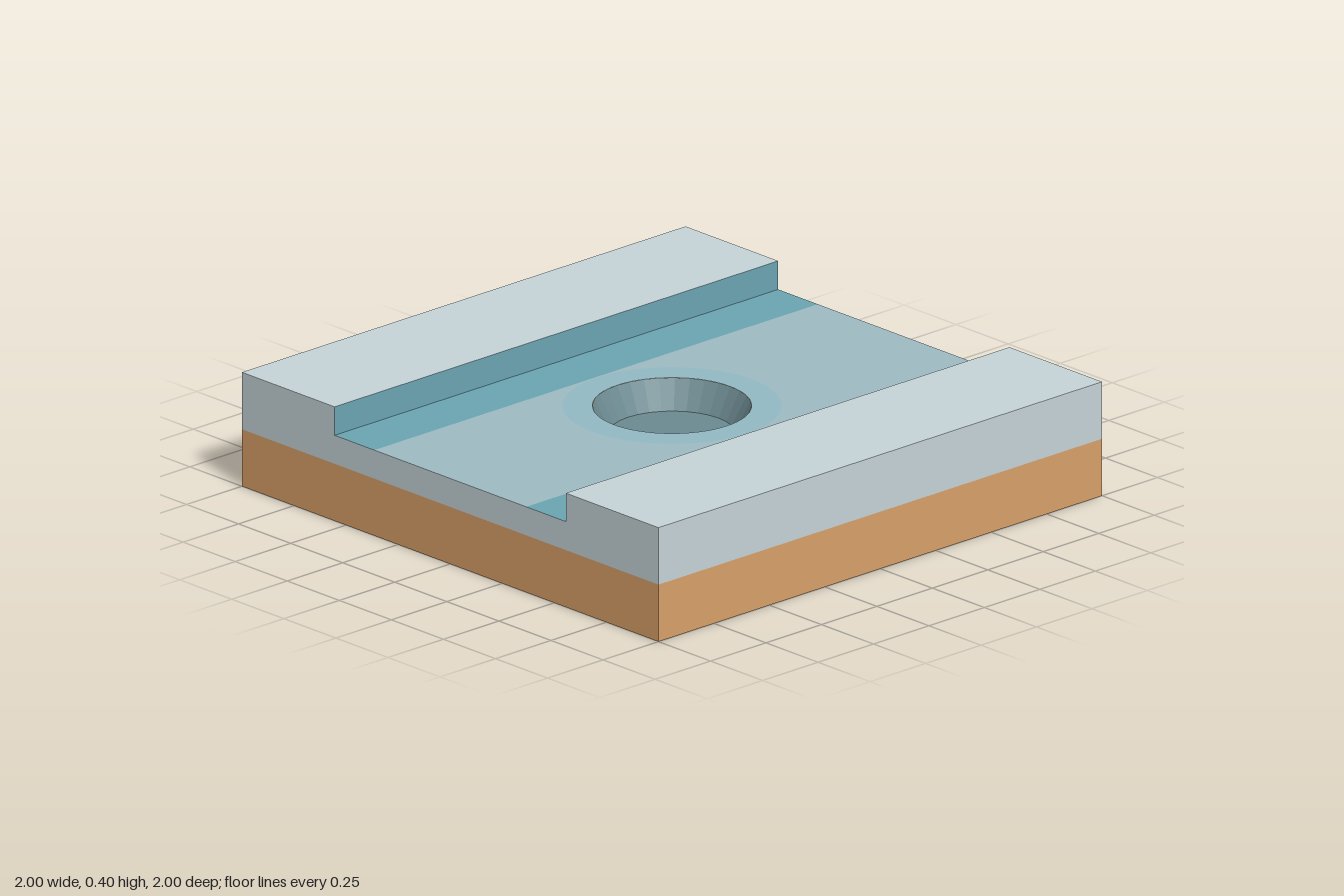
import * as THREE from 'three';

const paint = (color, flatShading = false) => new THREE.MeshStandardMaterial({ color, flatShading });

export function createModel() {
  const group = new THREE.Group();
  const stone = paint(0xc6d4d8), earth = paint(0xd9a169), bank = paint(0x6ba5b3);
  const bed = paint(0x9ebbc3), rim = paint(0x93bac4), pit = paint(0x6d8b92, true);
  const BASE = 0.2, FLOOR = 0.3, TOP = 0.4;
  const CHANNEL = 0.555, BED = 0.365, RIM = 0.36, HOLE = 0.262, PIT = 0.21;

  const add = (name, geometry, material) => {
    const mesh = new THREE.Mesh(geometry, material);
    mesh.name = name;
    group.add(mesh);
    return mesh;
  };
  const circle = (path, r) => path.absarc(0, 0, r, 0, Math.PI * 2, false);
  // Horizontal sheet facing up
  const sheet = (name, shape, y, material) =>
    add(name, new THREE.ShapeGeometry(shape, 32).rotateX(-Math.PI / 2).translate(0, y, 0), material);
  const strip = (x0, x1) => new THREE.Shape([[x0, -1], [x1, -1], [x1, 1], [x0, 1]].map(p => new THREE.Vector2(...p)));
  // Vertical wall along z, facing +x (dir 1) or -x (dir -1)
  const wall = (name, x, y0, y1, dir, material) =>
    add(name, new THREE.PlaneGeometry(2, y1 - y0).rotateY(dir * Math.PI / 2).translate(x, (y0 + y1) / 2, 0), material);

  // Solid lower slab
  add('base', new THREE.BoxGeometry(2, BASE, 2).translate(0, BASE / 2, 0), earth);

  // Notched end faces of the upper layer
  const profile = new THREE.Shape([
    [-1, BASE], [1, BASE], [1, TOP], [CHANNEL, TOP],
    [CHANNEL, FLOOR], [-CHANNEL, FLOOR], [-CHANNEL, TOP], [-1, TOP],
  ].map(p => new THREE.Vector2(...p)));
  for (const [name, turn] of [['frontEnd', 0], ['backEnd', Math.PI]]) {
    add(name, new THREE.ShapeGeometry(profile).translate(0, 0, 1).rotateY(turn), stone);
  }

  // Raised sides, channel walls and the darker strips beside them
  for (const [side, s] of [['left', 1], ['right', -1]]) {
    const span = (a, b) => strip(Math.min(s * a, s * b), Math.max(s * a, s * b));
    sheet(side + 'RailTop', span(CHANNEL, 1), TOP, stone);
    wall(side + 'OuterWall', s, BASE, TOP, s, stone);
    wall(side + 'ChannelWall', s * CHANNEL, FLOOR, TOP, -s, bank);
    sheet(side + 'ChannelEdge', span(BED, CHANNEL), FLOOR, bank);
  }

  // Channel bed with a round opening
  const bedShape = strip(-BED, BED);
  bedShape.holes.push(circle(new THREE.Path(), RIM));
  sheet('channelBed', bedShape, FLOOR, bed);

  // Tinted rim around the hole
  const rimShape = circle(new THREE.Shape(), RIM);
  rimShape.holes.push(circle(new THREE.Path(), HOLE));
  sheet('holeRim', rimShape, FLOOR, rim);

  // Tapered hole with a flat bottom, just above the base slab
  const pitProfile = [[HOLE, FLOOR], [PIT, BASE + 0.002], [0, BASE + 0.002]].map(p => new THREE.Vector2(...p));
  add('hole', new THREE.LatheGeometry(pitProfile, 32), pit);

  return group;
}
